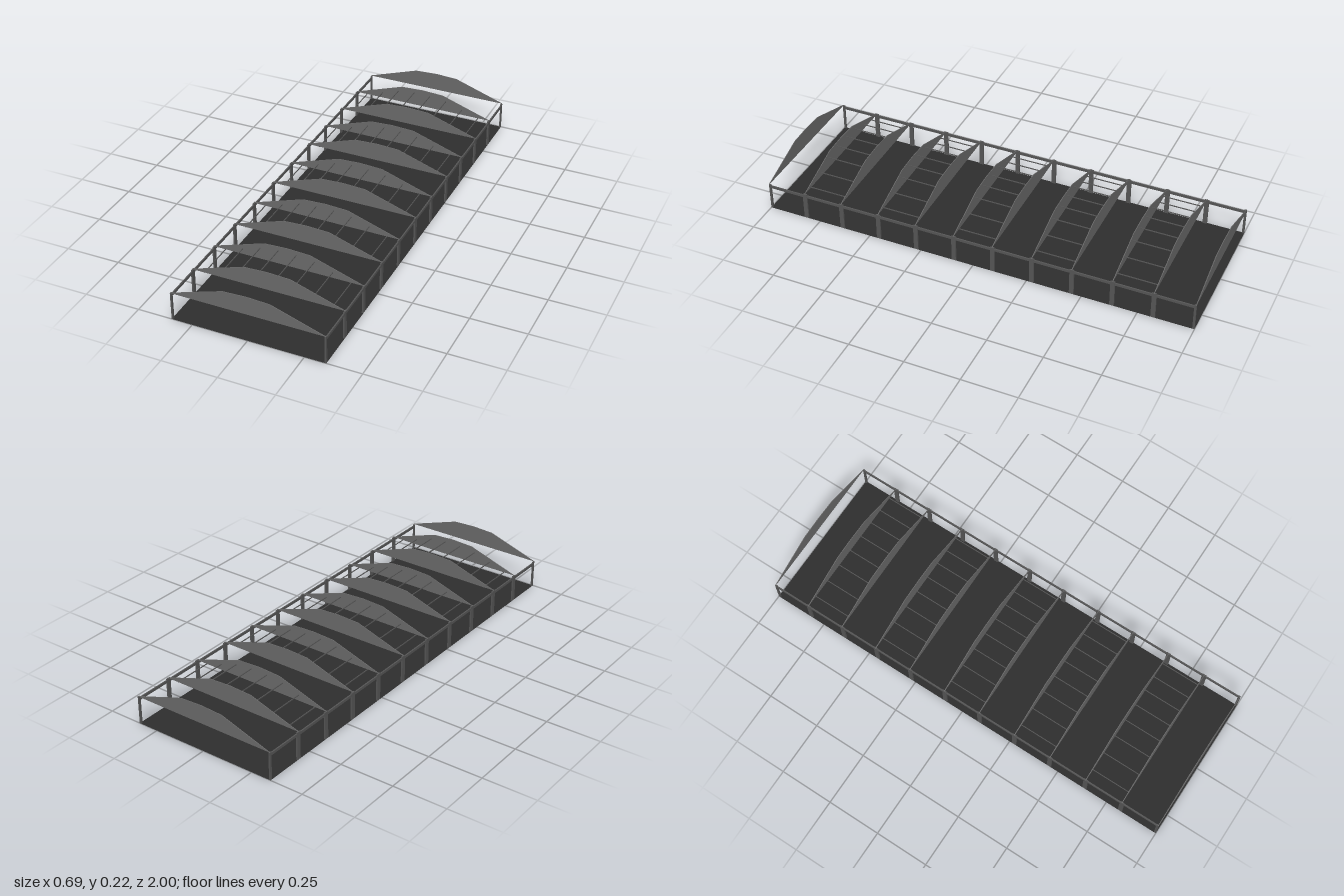
import * as THREE from 'three';

export function createModel() {
  const model = new THREE.Group();
  const mat = (name, color) => {
    const m = new THREE.MeshStandardMaterial({ color, side: THREE.DoubleSide });
    m.name = name;
    return m;
  };
  const floorGrey = mat('floor charcoal', 0x2e2e2e);
  const frameGrey = mat('truss grey', 0x6a6a6a);
  const steelGrey = mat('steel grey', 0x555555);

  const HALF_W = 0.345, EAVES = 0.13, BAYS = 11, STEP = 2 / BAYS;
  const box = (name, material, sx, sy, sz, x, y, z) => {
    const mesh = new THREE.Mesh(new THREE.BoxGeometry(sx, sy, sz), material);
    mesh.name = name;
    mesh.position.set(x, y, z);
    model.add(mesh);
  };

  // Flat floor sheet
  const floor = new THREE.Mesh(new THREE.PlaneGeometry(HALF_W * 2, 2), floorGrey);
  floor.name = 'floor';
  floor.rotation.x = -Math.PI / 2;
  model.add(floor);

  // Arched roof outline, from the left eave to the right eave
  const arch = [[-HALF_W, EAVES], [-0.105, 0.21], [0, 0.215], [0.105, 0.21], [HALF_W, EAVES]];
  const roofY = (x) => {
    const i = Math.max(1, arch.findIndex((p) => p[0] >= x));
    const [x0, y0] = arch[i - 1], [x1, y1] = arch[i];
    return y0 + ((y1 - y0) * (x - x0)) / (x1 - x0);
  };
  const trussShape = new THREE.Shape(arch.map(([x, y]) => new THREE.Vector2(x, y)));
  const DEPTH = 0.003;
  const trussGeo = new THREE.ExtrudeGeometry(trussShape, { depth: DEPTH, bevelEnabled: false });

  // Trusses with a column at each end; the end columns are thinner
  for (let i = 0; i <= BAYS; i++) {
    const z = -1 + i * STEP;
    const end = i === 0 || i === BAYS;
    const truss = new THREE.Mesh(trussGeo, frameGrey);
    truss.name = 'roofTruss';
    truss.position.z = Math.min(1 - DEPTH, Math.max(-1, z - DEPTH / 2));
    model.add(truss);
    const d = end ? 0.01 : 0.02;
    const cz = end ? Math.sign(z) * (1 - d / 2) : z;
    for (const s of [-1, 1]) {
      box('column', steelGrey, 0.007, EAVES - 0.002, d, s * (HALF_W - 0.0035), (EAVES - 0.002) / 2, cz);
    }
  }

  for (let i = 0; i < BAYS; i++) {
    const z = -1 + (i + 0.5) * STEP;
    // Eaves beams along both sides
    for (const s of [-1, 1]) {
      box('eavesBeam', steelGrey, 0.006, 0.012, STEP - 0.018, s * (HALF_W - 0.0035), 0.117, z);
    }
    // Purlins tie every second bay
    if (i % 2 === 1) {
      for (let k = 0; k < 8; k++) {
        const x = (k - 3.5) * 0.082;
        box('purlin', steelGrey, 0.003, 0.004, STEP, x, roofY(x) - 0.02, z);
      }
    }
  }
  return model;
}
